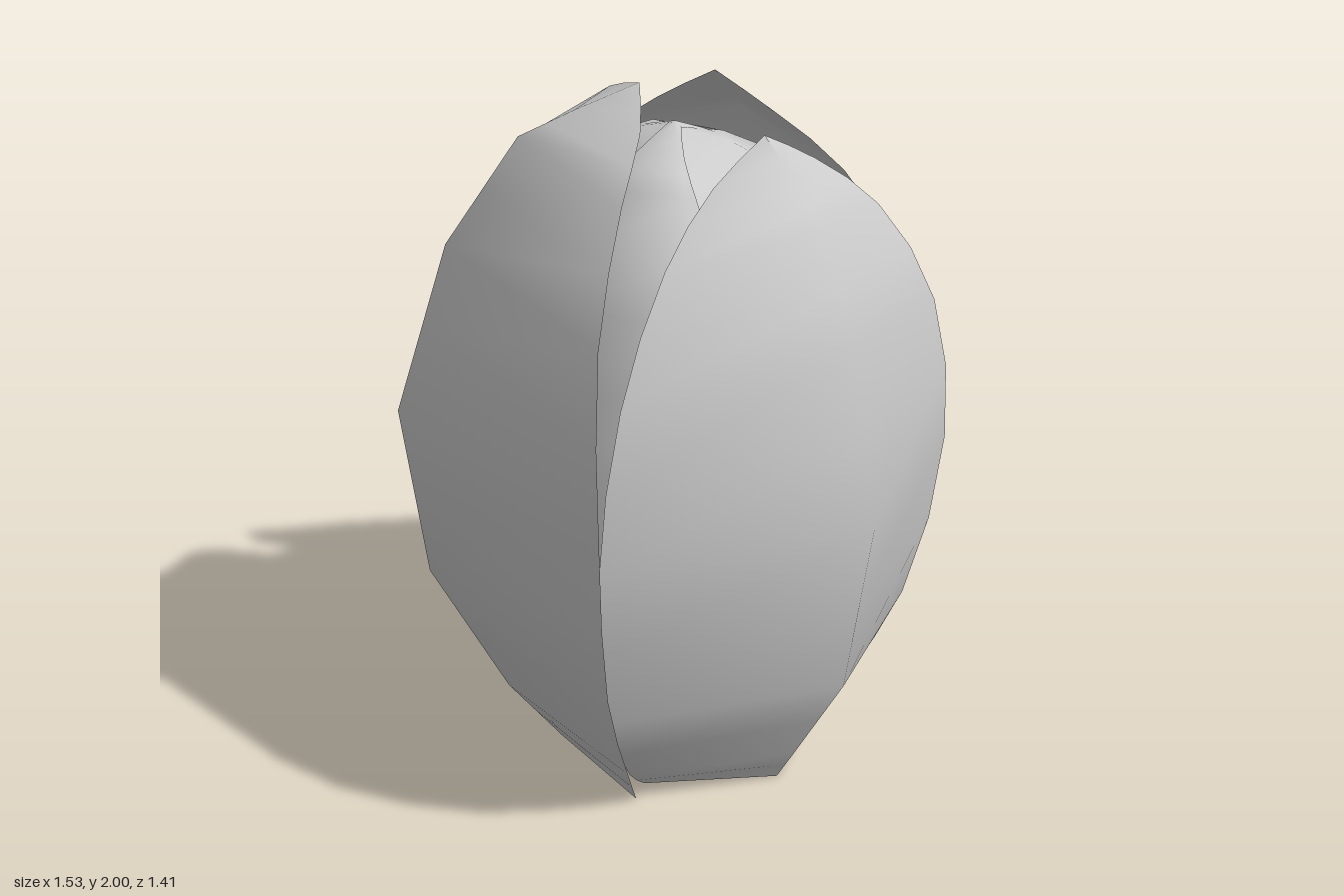
import * as THREE from 'three';

const material = new THREE.MeshStandardMaterial({ color: 0xcccccc, side: THREE.DoubleSide });

// Rows, base to tip: [ridge radius, ridge half width, ridge y, edge radius, edge half width, edge y]
const outerRows = [
  [0.42, 0, 0, 0.21, 0.32, 0],
  [0.49, 0, 0.12, 0.26, 0.41, 0.10],
  [0.68, 0, 0.45, 0.35, 0.54, 0.38],
  [0.77, 0, 0.98, 0.41, 0.615, 0.90],
  [0.68, 0, 1.47, 0.41, 0.54, 1.35],
  [0.54, 0, 1.74, 0.36, 0.36, 1.66],
  [0.43, 0, 1.83, 0.315, 0.17, 1.82],
  [0.31, 0, 1.92, 0.31, 0, 1.92],
];
const tallRows = [
  [0.35, 0, 0, 0.20, 0.35, 0],
  [0.50, 0, 0.20, 0.24, 0.43, 0.15],
  [0.71, 0, 0.62, 0.32, 0.57, 0.50],
  [0.77, 0, 1.13, 0.35, 0.64, 1.02],
  [0.62, 0, 1.60, 0.32, 0.52, 1.50],
  [0.42, 0, 1.88, 0.22, 0.34, 1.80],
  [0.27, 0, 1.94, 0.14, 0.19, 1.93],
  [0.10, 0, 2.00, 0.10, 0, 2.00],
];
const innerRows = [
  [0.30, 0.12, 0.01, 0.15, 0.25, 0.01],
  [0.36, 0.16, 0.15, 0.17, 0.34, 0.15],
  [0.45, 0.22, 0.55, 0.17, 0.46, 0.52],
  [0.47, 0.24, 1.05, 0.14, 0.51, 1.00],
  [0.42, 0.20, 1.50, 0.02, 0.43, 1.50],
  [0.25, 0.10, 1.77, -0.03, 0.27, 1.75],
  [0.13, 0.05, 1.84, -0.03, 0.13, 1.84],
  [0.00, 0.00, 1.88, 0.00, 0, 1.88],
];
const STEPS = 2 * (innerRows.length - 1);

// A cupped petal: columns running from base to tip, joined by straight facets.
// Its edges are curved, its ridge runs straight between rows; shift slides it sideways.
function petal(name, rows, degrees, shift) {
  const edge = (side) => new THREE.CatmullRomCurve3(
    rows.map((r) => new THREE.Vector3(r[3], r[5], side * r[4] + shift))).getPoints(STEPS);
  const ridge = (side) => new THREE.CatmullRomCurve3(
    rows.map((r) => new THREE.Vector3(r[0], r[2], side * r[1] + shift)),
    false, 'catmullrom', 0).getPoints(STEPS);
  const flatBack = rows[0][1] > 0;
  const columns = [edge(-1), ...(flatBack ? [ridge(-1), ridge(1)] : [ridge(0)]), edge(1)];
  const n = columns.length;
  const positions = [];
  const index = [];
  for (let i = 0; i <= STEPS; i++) {
    for (let j = 0; j < n; j++) {
      const p = columns[j][i];
      positions.push(p.x, p.y, p.z);
      if (i < STEPS && j < n - 1) {
        const a = i * n + j;
        index.push(a, a + n, a + 1);
        if (i < STEPS - 1) index.push(a + 1, a + n, a + n + 1);
      }
    }
  }
  const geometry = new THREE.BufferGeometry();
  geometry.setAttribute('position', new THREE.Float32BufferAttribute(positions, 3));
  geometry.setIndex(index);
  geometry.computeVertexNormals();
  const mesh = new THREE.Mesh(geometry, material);
  mesh.name = name;
  mesh.rotation.y = -THREE.MathUtils.degToRad(degrees);
  return mesh;
}

export function createModel() {
  const bud = new THREE.Group();
  bud.name = 'flowerBud';

  // Three outer petals
  bud.add(petal('outerPetalFront', outerRows, 69, -0.04));
  bud.add(petal('outerPetalBack', outerRows, -52, 0));
  bud.add(petal('outerPetalSide', tallRows, 184.5, -0.025));

  // Three inner petals closing the gaps
  bud.add(petal('innerPetalSide', innerRows, 1, 0.05));
  bud.add(petal('innerPetalFront', innerRows, 123, 0));
  bud.add(petal('innerPetalBack', innerRows, -112, -0.02));

  return bud;
}
